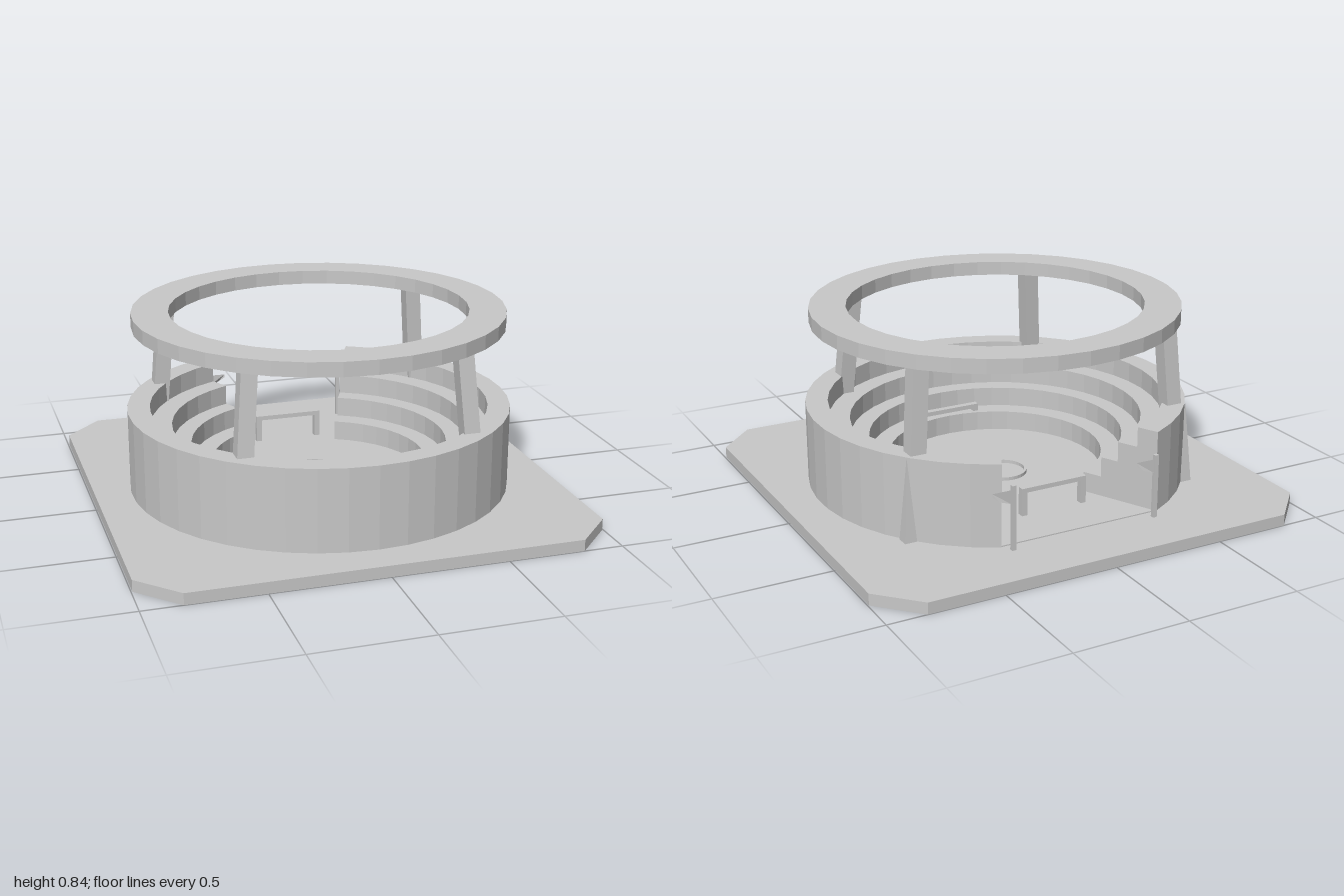
import * as THREE from 'three';

const CZ = 0.022, SZ = 0.98; // arena centre and slight flattening along z

export function createModel() {
  const model = new THREE.Group();
  model.name = 'arena';
  const stone = new THREE.MeshStandardMaterial({ color: 0xc8c8c8, side: THREE.DoubleSide });
  stone.name = 'grey stone';

  // Adds a faceted mesh
  function add(name, geometry, x = 0, y = 0, z = 0, parent = model) {
    const g = geometry.index ? geometry.toNonIndexed() : geometry;
    g.computeVertexNormals();
    const mesh = new THREE.Mesh(g, stone);
    mesh.name = name;
    mesh.position.set(x, y, z);
    parent.add(mesh);
    return mesh;
  }
  const box = (name, w, h, d, x, y, z) => add(name, new THREE.BoxGeometry(w, h, d), x, y, z);
  const points = (list) => list.map(([x, y]) => new THREE.Vector2(x, y));

  // Base slab with cut corners
  const c = 0.83, w = 0.995;
  const slab = new THREE.Shape(points([
    [-c, -1], [c, -1], [w, -c], [w, c], [c, 1], [-c, 1], [-w, c], [-w, -c]]));
  add('base', new THREE.ExtrudeGeometry(slab, { depth: 0.05, bevelEnabled: false }).rotateX(-Math.PI / 2));

  // Stepped seating ring, open at the back
  const tiers = points([
    [0.84, 0.05], [0.84, 0.41], [0.742, 0.41], [0.742, 0.322], [0.648, 0.322],
    [0.648, 0.233], [0.565, 0.233], [0.565, 0.144], [0.475, 0.144], [0.475, 0.05]]);
  const gap = 0.452, start = Math.PI + gap, sweep = 2 * (Math.PI - gap);
  const seating = new THREE.Group();
  seating.name = 'seating';
  seating.position.z = CZ;
  seating.scale.z = SZ;
  model.add(seating);
  add('tiers', new THREE.LatheGeometry(tiers, 36, start, sweep), 0, 0, 0, seating);
  for (const phi of [start, start + sweep]) {
    add('tierEnd', new THREE.ShapeGeometry(new THREE.Shape(tiers)).rotateY(phi - Math.PI / 2), 0, 0, 0, seating);
  }

  // Thin floor with a straight threshold across the opening
  const floor = new THREE.Shape();
  floor.absarc(0, 0, 0.835, Math.PI / 2 + gap, Math.PI * 2.5 - gap, false);
  add('floor', new THREE.ExtrudeGeometry(floor, { depth: 0.01, bevelEnabled: false, curveSegments: 36 })
    .rotateX(-Math.PI / 2), 0, 0.045, 0, seating);

  // Flat roof ring and the small ring on the floor
  function ring(name, outer, inner, y, h, z, sides) {
    const profile = points([[inner, 0], [outer, 0], [outer, h], [inner, h], [inner, 0]]);
    add(name, new THREE.LatheGeometry(profile, sides), 0, y, z).scale.z = SZ;
  }
  ring('roofRing', 0.81, 0.65, 0.774, 0.062, CZ, 36);
  ring('centreRing', 0.11, 0.1, 0.05, 0.02, -0.04, 32);

  // Square pillars leaning inward, from the seating to the roof
  function pillar(x0, z0, x1, z1) {
    const y0 = 0.31, y1 = 0.78;
    const g = new THREE.BoxGeometry(0.07, y1 - y0, 0.07).translate(0, (y0 + y1) / 2, 0);
    const p = g.attributes.position;
    for (let i = 0; i < p.count; i++) {
      const t = (p.getY(i) - 0.41) / 0.37;
      p.setX(i, p.getX(i) + x0 + (x1 - x0) * t);
      p.setZ(i, p.getZ(i) + z0 + (z1 - z0) * t);
    }
    add('pillar', g);
  }
  for (const s of [-1, 1]) {
    pillar(s * 0.485, 0.58, s * 0.455, 0.547);
    pillar(s * 0.613, -0.443, s * 0.585, -0.422);
    // Tapered buttress on the outside of the wall
    add('buttress', new THREE.ConeGeometry(0.038, 0.36, 4).rotateY(Math.PI / 4), s * 0.668, 0.23, -0.482);
  }

  // Low benches at both ends of the floor
  for (const z of [-0.49, 0.505]) {
    box('benchTop', 0.31, 0.02, 0.03, 0, 0.168, z);
    for (const s of [-1, 1]) box('benchLeg', 0.025, 0.11, 0.03, s * 0.1425, 0.105, z);
  }

  // Gate posts with wavy pennants
  const pennant = new THREE.Shape(points([[0, 0], [0.03, 0.01], [0.06, 0.025], [0.085, 0.045], [0.085, 0.06], [0, 0.06]]));
  for (const s of [-1, 1]) {
    box('gatePost', 0.018, 0.28, 0.018, s * 0.335, 0.19, -0.757);
    const g = new THREE.ShapeGeometry(pennant);
    const p = g.attributes.position;
    for (let i = 0; i < p.count; i++) p.setZ(i, 0.01 * Math.sin(p.getX(i) * 75));
    add('pennant', g, s * 0.335 + 0.009, 0.25, -0.757);
  }
  return model;
}
